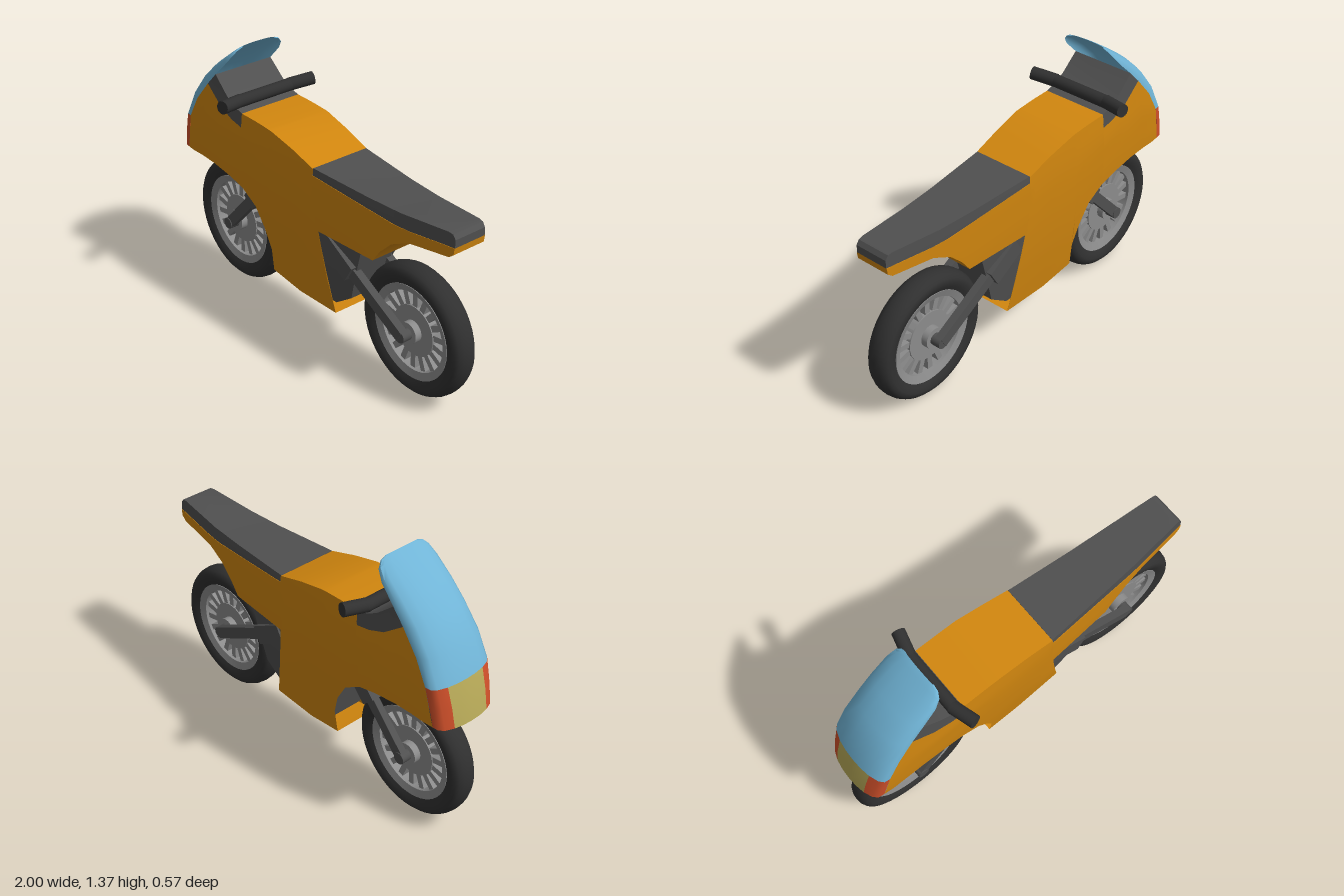
import * as THREE from 'three';
import { toCreasedNormals } from 'three/addons/utils/BufferGeometryUtils.js';

const paint = (name, color, side = THREE.DoubleSide) => {
  const m = new THREE.MeshStandardMaterial({ color, side });
  m.name = name;
  return m;
};

// piecewise linear lookup in [[key, value], ...]
function lookup(table, v) {
  if (v <= table[0][0]) return table[0][1];
  for (let i = 1; i < table.length; i++) {
    const [a, p] = table[i - 1], [b, q] = table[i];
    if (v <= b) return p + (q - p) * (v - a) / (b - a);
  }
  return table[table.length - 1][1];
}

// half width of the fairing: plan taper times height taper
const plan = [[-1, 0.165], [-0.85, 0.183], [-0.2, 0.18], [0.1, 0.165], [0.35, 0.143], [0.65, 0.12], [0.96, 0.09]];
const tall = [[0.2, 0.66], [0.5, 0.87], [0.75, 0.97], [0.93, 1], [1.07, 0.95], [1.2, 0.92]];
const halfWidth = (x, y) => lookup(plan, x) * lookup(tall, y);

function build(points, index, crease = 0.6) {
  const g = new THREE.BufferGeometry();
  g.setAttribute('position', new THREE.Float32BufferAttribute(points, 3));
  g.setIndex(index);
  return toCreasedNormals(g, crease);
}

// Shell through sections [bottomX, bottomY, topX, topY]; floor = range of closed underside
function shell(sections, { inset = 0, floor = [0, 99], front = false, back = false } = {}) {
  const rows = 8, n = rows * 2 + 2, points = [], index = [];
  const quad = (a, b, c, d) => index.push(a, b, c, a, c, d);
  for (const [bx, by, tx, ty] of sections) {
    for (let k = 0; k < n; k++) {
      const left = k <= rows, t = (left ? k : n - 1 - k) / rows;
      const x = bx + (tx - bx) * t, y = by + (ty - by) * t;
      points.push(x, y, (halfWidth(x, y) - inset) * (left ? 1 : -1));
    }
  }
  const last = sections.length - 1;
  for (let i = 0; i < last; i++) {
    for (let k = 0; k < n; k++) {
      if (k === n - 1 && (i < floor[0] || i >= floor[1])) continue;
      const j = (k + 1) % n;
      quad(i * n + k, (i + 1) * n + k, (i + 1) * n + j, i * n + j);
    }
  }
  for (let k = 0; k < rows; k++) {
    const r = n - 1 - k, o = last * n;
    if (back) quad(o + k, o + r, o + r - 1, o + k + 1);
    if (front) quad(r, k, k + 1, r - 1);
  }
  return build(points, index);
}

// Curved nose sheet: levels [centreX, centreY, edgeX, edgeY, halfWidth],
// wrapped from the centre line back to the edges
const wrap = [[-1, 1], [-0.98, 0.62], [-0.86, 0.36], [-0.6, 0.14], [-0.3, 0.03], [0, 0],
  [0.3, 0.03], [0.6, 0.14], [0.86, 0.36], [0.98, 0.62], [1, 1]];
function sheet(levels, from, to) {
  const cols = wrap.slice(from, to + 1), n = cols.length, points = [], index = [];
  for (const [cx, cy, ex, ey, w] of levels) {
    for (const [s, t] of cols) points.push(cx + (ex - cx) * t, cy + (ey - cy) * t, s * w);
  }
  for (let i = 0; i < levels.length - 1; i++) {
    for (let k = 0; k < n - 1; k++) {
      const a = i * n + k, d = a + n;
      index.push(a, a + 1, d + 1, a, d + 1, d);
    }
  }
  return build(points, index, 0.9);
}

export function createModel() {
  const model = new THREE.Group();
  model.name = 'motorcycle';
  const orange = paint('orange paint', 0xd2870f);
  const dark = paint('dark grey', 0x505050);
  const black = paint('black rubber', 0x303030);
  const metal = paint('wheel grey', 0x8c8c8c);
  const blue = paint('blue glass', 0x70b4d6);
  const red = paint('red lamp', 0xd0502a);
  const yellow = paint('yellow lamp', 0xb8aa58);

  const add = (name, geometry, material, parent = model) => {
    const mesh = new THREE.Mesh(geometry, material);
    mesh.name = name;
    parent.add(mesh);
    return mesh;
  };

  // Fairing, tank and tail
  add('frontFairing', shell([
    [-0.91, 0.70, -0.865, 0.90], [-0.86, 0.702, -0.80, 1.02], [-0.78, 0.705, -0.71, 1.13],
    [-0.68, 0.70, -0.60, 1.045], [-0.55, 0.68, -0.51, 1.01], [-0.45, 0.655, -0.43, 0.995],
  ], { floor: [0, 0] }), orange);
  add('tankAndBelly', shell([
    [-0.45, 0.655, -0.43, 1.07], [-0.35, 0.59, -0.33, 1.07], [-0.29, 0.49, -0.27, 1.068],
    [-0.255, 0.38, -0.23, 1.066], [-0.26, 0.25, -0.20, 1.064], [-0.06, 0.22, -0.05, 1.03],
    [0.20, 0.22, 0.04, 1.003], [0.11, 0.66, 0.10, 0.985],
  ], { floor: [4, 6] }), orange);
  add('tail', shell([
    [0.11, 0.66, 0.10, 0.95], [0.48, 0.66, 0.45, 0.92], [0.53, 0.73, 0.52, 0.915],
    [0.60, 0.80, 0.60, 0.908], [0.70, 0.85, 0.70, 0.91], [0.93, 0.88, 0.92, 0.932],
    [0.955, 0.90, 0.96, 0.935],
  ], { back: true }), orange);

  // Seat, dash and the engine block inside the fairing
  add('seat', shell([
    [0.10, 0.95, 0.10, 0.987], [0.45, 0.92, 0.45, 0.977], [0.65, 0.905, 0.65, 0.979],
    [0.92, 0.93, 0.92, 1.0], [0.945, 0.932, 0.945, 0.996], [0.96, 0.935, 0.96, 0.975],
  ], { inset: 0.002, front: true, back: true }), dark);
  add('dash', shell([
    [-0.71, 1.13, -0.645, 1.20], [-0.60, 1.045, -0.55, 1.118],
    [-0.51, 1.01, -0.49, 1.085], [-0.43, 0.995, -0.43, 1.07],
  ], { front: true, back: true }), dark);
  add('engine', shell([
    [-0.17, 0.26, -0.25, 0.655], [0.19, 0.27, 0.11, 0.655], [0.30, 0.35, 0.385, 0.655],
  ], { inset: 0.02, front: true, back: true }), dark);
  add('noseLining', shell([
    [-0.85, 0.75, -0.83, 0.88], [-0.45, 0.72, -0.45, 0.88], [-0.26, 0.66, -0.26, 0.88],
  ], { inset: 0.012, front: true, back: true }), dark);

  // Lamps and windshield
  const lampLevels = [[-0.99, 0.70, -0.91, 0.70, halfWidth(-0.91, 0.70)],
    [-0.97, 0.80, -0.89, 0.80, halfWidth(-0.89, 0.80)],
    [-0.94, 0.90, -0.865, 0.90, halfWidth(-0.865, 0.90)]];
  add('rightLamp', sheet(lampLevels, 0, 3), red);
  add('headlamp', sheet(lampLevels, 3, 7), yellow);
  add('leftLamp', sheet(lampLevels, 7, 10), red);
  add('windshield', sheet([
    lampLevels[2], [-0.885, 1.03, -0.80, 1.02, halfWidth(-0.80, 1.02)],
    [-0.80, 1.15, -0.71, 1.13, halfWidth(-0.71, 1.13)], [-0.70, 1.245, -0.645, 1.20, 0.168],
    [-0.60, 1.32, -0.565, 1.28, 0.162], [-0.55, 1.355, -0.53, 1.325, 0.148],
    [-0.53, 1.368, -0.517, 1.352, 0.125], [-0.522, 1.372, -0.515, 1.365, 0.095],
  ], 0, 10), blue);

  // Handlebar: straight middle with swept grips
  const rod = (name, a, b, r, material) => {
    const p = new THREE.Vector3(...a), q = new THREE.Vector3(...b);
    const mesh = add(name, new THREE.CylinderGeometry(r, r, p.distanceTo(q), 20), material);
    mesh.position.copy(p).add(q).multiplyScalar(0.5);
    mesh.quaternion.setFromUnitVectors(new THREE.Vector3(0, 1, 0), q.sub(p).normalize());
  };
  rod('handlebar', [-0.473, 1.115, -0.17], [-0.473, 1.115, 0.17], 0.032, black);
  for (const s of [-1, 1]) rod('grip', [-0.475, 1.115, s * 0.15], [-0.442, 1.127, s * 0.275], 0.033, black);

  // Wheels
  const ring = (profile) => new THREE.LatheGeometry(
    profile.map(([r, h]) => new THREE.Vector2(r, h)), 48).rotateX(Math.PI / 2);
  const half = [[0.235, -0.045], [0.26, -0.058], [0.285, -0.066], [0.305, -0.062], [0.32, -0.048], [0.33, -0.026]];
  const tyreProfile = [...half, [0.333, 0], ...half.map(([r, h]) => [r, -h]).reverse()];
  const rimProfile = [[0.205, -0.04], [0.242, -0.052], [0.242, 0.052], [0.205, 0.04], [0.205, -0.04]];
  const drum = (r, w) => new THREE.CylinderGeometry(r, r, w, 40).rotateX(Math.PI / 2);
  for (const [name, x] of [['frontWheel', -0.665], ['rearWheel', 0.665]]) {
    const wheel = new THREE.Group();
    wheel.name = name;
    wheel.position.set(x, 0.333, 0);
    model.add(wheel);
    add('tyre', ring(tyreProfile), black, wheel);
    add('rim', toCreasedNormals(ring(rimProfile), 0.6), metal, wheel);
    add('hubDisc', drum(0.13, 0.06), metal, wheel);
    add('hub', drum(0.055, 0.13), metal, wheel);
    add('axle', drum(0.03, 0.22), dark, wheel);
    for (let i = 0; i < 18; i++) {
      const spoke = new THREE.BoxGeometry(0.1, 0.03, 0.05).translate(0.168, 0, 0);
      add('spoke', spoke.rotateZ((i + 0.5) * Math.PI / 9), metal, wheel);
    }
  }

  // Fork and swingarm: a slim arm with a thicker upper sleeve on each side
  const arm = (name, a, b, width, depth, z) => {
    const dx = b[0] - a[0], dy = b[1] - a[1];
    const mesh = add(name, new THREE.BoxGeometry(Math.hypot(dx, dy), width, depth), dark);
    mesh.position.set((a[0] + b[0]) / 2, (a[1] + b[1]) / 2, z);
    mesh.rotation.z = Math.atan2(dy, dx);
  };
  for (const s of [-1, 1]) {
    arm('forkLeg', [-0.665, 0.333], [-0.42, 0.60], 0.055, 0.035, s * 0.095);
    arm('forkSleeve', [-0.465, 0.55], [-0.33, 0.70], 0.085, 0.055, s * 0.1);
    arm('swingarm', [0.665, 0.333], [0.30, 0.525], 0.06, 0.04, s * 0.1);
    arm('swingarmSleeve', [0.325, 0.51], [0.15, 0.61], 0.095, 0.05, s * 0.112);
    for (const x of [-0.665, 0.665]) {
      add('axleEnd', drum(0.03, 0.04), dark).position.set(x, 0.333, s * 0.097);
    }
  }
  return model;
}
